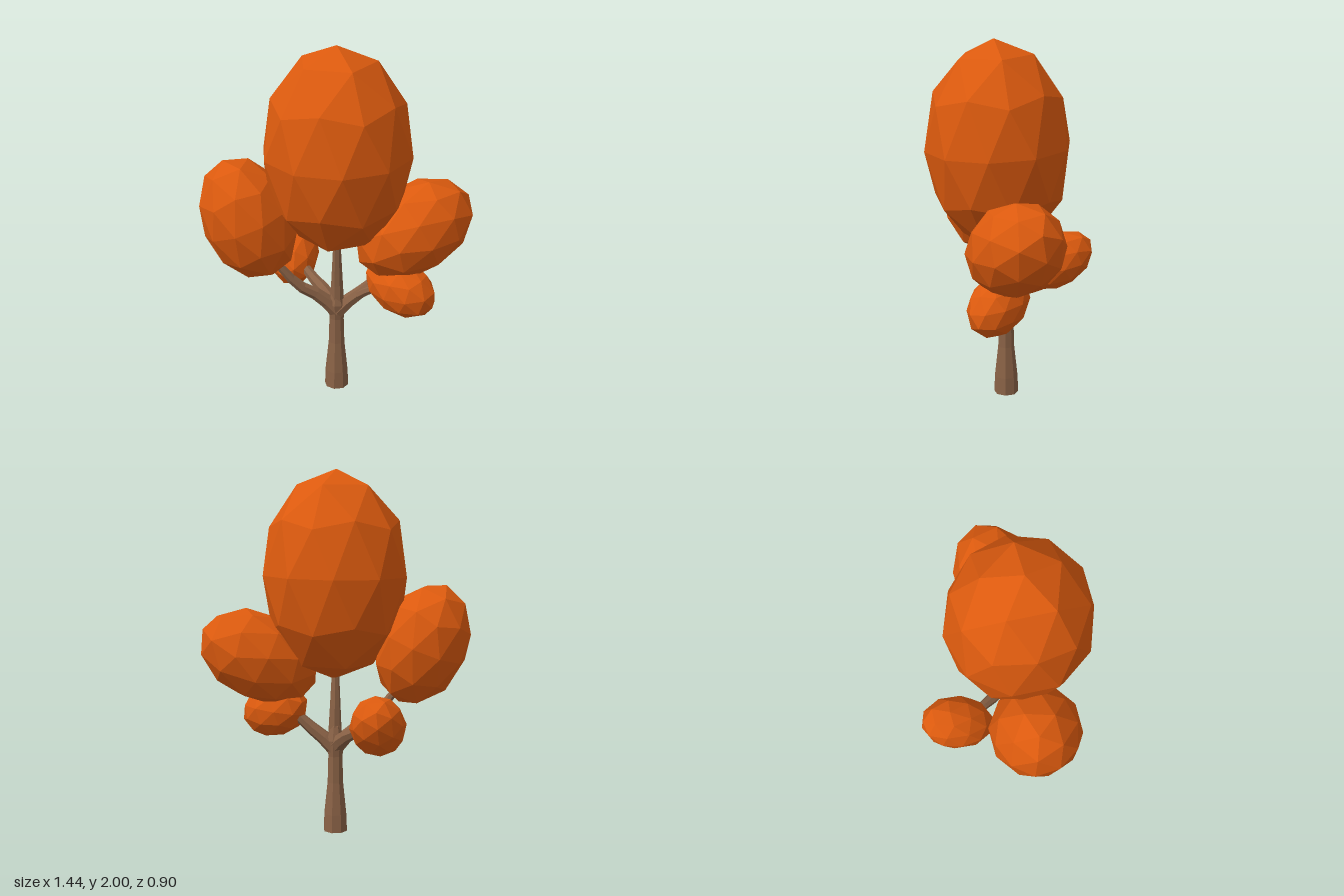
import * as THREE from 'three';

const leafMat = new THREE.MeshStandardMaterial({ color: 0xdc5a0e, flatShading: true });
const barkMat = new THREE.MeshStandardMaterial({ color: 0x8a6246, flatShading: true });
const UP = new THREE.Vector3(0, 1, 0);

// Faceted egg of leaves: long along `axis`, with half-sizes [across, long, across]
function foliage(name, center, half, axis, spin = 0) {
  const geo = new THREE.IcosahedronGeometry(1, 1);
  geo.rotateZ(Math.atan(2 / (1 + Math.sqrt(5)))); // stand on a vertex
  geo.rotateY(spin);
  geo.scale(...half);
  const mesh = new THREE.Mesh(geo, leafMat);
  mesh.name = name;
  mesh.position.set(...center);
  mesh.quaternion.setFromUnitVectors(UP, new THREE.Vector3(...axis).normalize());
  return mesh;
}

// Tapered limb swept along a smooth path
function branch(name, points, r0, r1) {
  const rings = 6, sides = 7;
  const curve = new THREE.CatmullRomCurve3(points.map(p => new THREE.Vector3(...p)));
  const geo = new THREE.TubeGeometry(curve, rings, 1, sides);
  const pos = geo.attributes.position;
  const v = new THREE.Vector3();
  for (let i = 0; i < pos.count; i++) {
    const t = Math.floor(i / (sides + 1)) / rings;
    const c = curve.getPointAt(t);
    v.fromBufferAttribute(pos, i).sub(c).multiplyScalar(r0 + (r1 - r0) * t).add(c);
    pos.setXYZ(i, v.x, v.y, v.z);
  }
  geo.computeVertexNormals();
  const mesh = new THREE.Mesh(geo, barkMat);
  mesh.name = name;
  return mesh;
}

export function createModel() {
  const tree = new THREE.Group();
  tree.name = 'tree';

  // Trunk: flared foot, narrow waist, swelling at the fork
  const profile = [[0, 0], [0.068, 0], [0.064, 0.1], [0.045, 0.28], [0.041, 0.43], [0.052, 0.52], [0.03, 0.6], [0, 0.63]];
  const trunk = new THREE.Mesh(
    new THREE.LatheGeometry(profile.map(p => new THREE.Vector2(...p)), 8), barkMat);
  trunk.name = 'trunk';
  trunk.position.set(-0.004, 0, 0.018);
  tree.add(trunk);

  // Limbs, each ending inside its foliage
  tree.add(
    branch('centerBranch', [[0, 0.48, 0.02], [0, 0.65, 0.025], [0.005, 0.95, 0.05]], 0.042, 0.018),
    branch('rightBranch', [[0, 0.47, 0.02], [-0.09, 0.57, 0.05], [-0.2, 0.65, 0.1], [-0.34, 0.83, 0.15]], 0.045, 0.018),
    branch('leftBranch', [[0, 0.47, 0.02], [0.09, 0.56, 0], [0.18, 0.63, -0.02], [0.23, 0.74, -0.03], [0.32, 0.88, -0.05]], 0.045, 0.018),
    branch('backBranch', [[0, 0.48, 0.02], [-0.07, 0.55, -0.03], [-0.17, 0.61, -0.1], [-0.29, 0.68, -0.22]], 0.045, 0.02),
    branch('lowerLeftBranch', [[0.08, 0.55, 0], [0.19, 0.62, 0.01], [0.33, 0.66, 0.03]], 0.032, 0.016)
  );

  // Foliage
  tree.add(
    foliage('crown', [0.01, 1.43, 0.06], [0.405, 0.57, 0.395], [0, 1, 0.035], -21 * Math.PI / 180),
    foliage('rightFoliage', [-0.455, 1.055, 0.17], [0.25, 0.35, 0.25], [-0.36, 0.93, 0.04]),
    foliage('leftFoliage', [0.41, 0.98, -0.055], [0.245, 0.35, 0.245], [0.78, 0.46, -0.42]),
    foliage('lowerLeftFoliage', [0.355, 0.665, 0.035], [0.15, 0.22, 0.15], [-0.19, 0.07, -0.09]),
    foliage('backFoliage', [-0.32, 0.685, -0.265], [0.15, 0.22, 0.15], [-0.04, 0.12, -0.19])
  );
  return tree;
}
